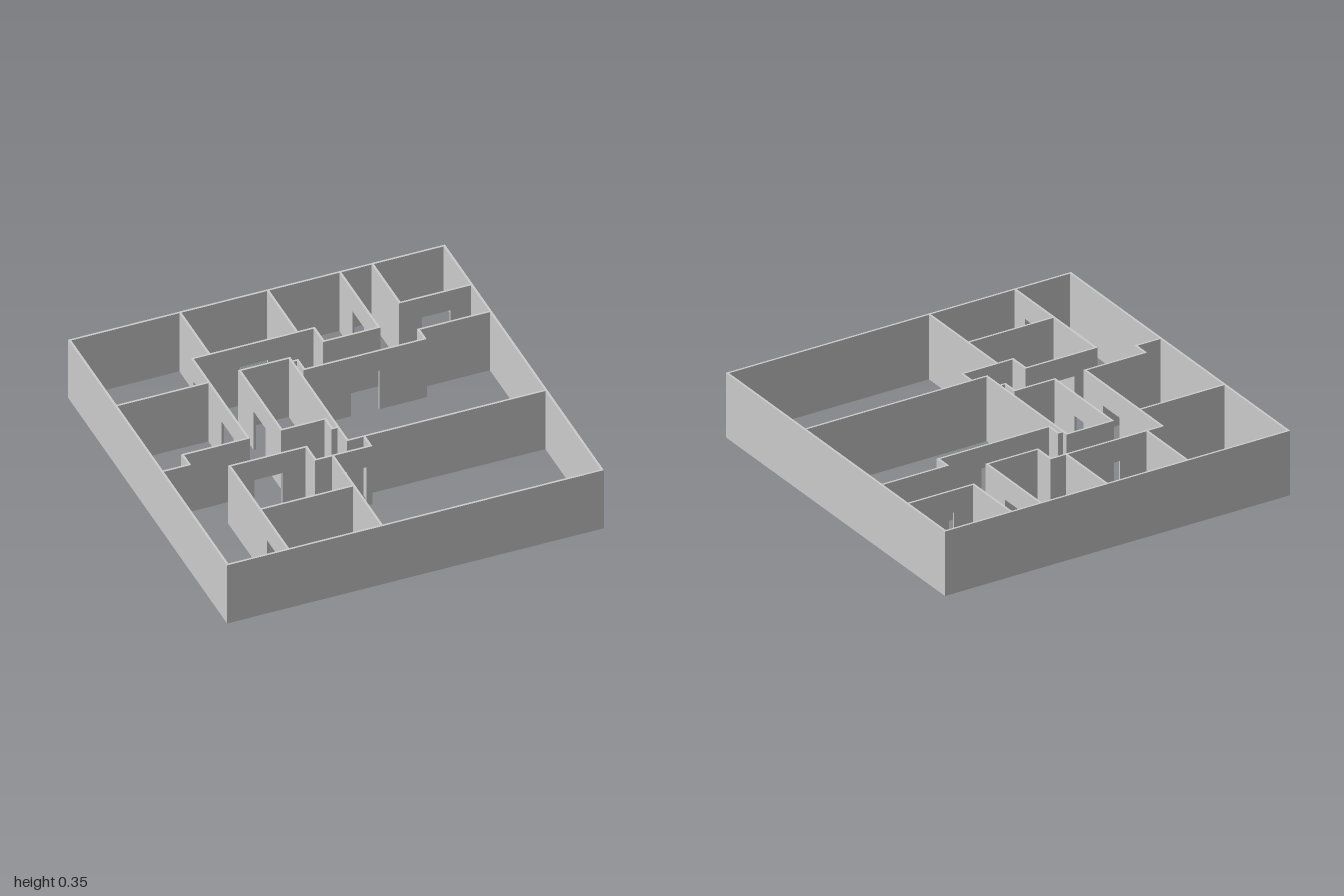
import * as THREE from 'three';

const H = 0.355;          // wall height
const T = 0.012;          // wall thickness
const DOOR_W = 0.15;
const DOOR_H = 0.235;
const E = 1 - T / 2;      // centre line of the outer walls

const material = new THREE.MeshStandardMaterial({ color: 0xcccccc, flatShading: true });

// One straight wall between two plan points, with an optional doorway in its middle
function wall([x0, z0], [x1, z1], door) {
  const half = (Math.hypot(x1 - x0, z1 - z0) + T) / 2;
  const d = DOOR_W / 2;
  const outline = [[-half, 0]];
  if (door) outline.push([-d, 0], [-d, DOOR_H], [d, DOOR_H], [d, 0]);
  outline.push([half, 0], [half, H], [-half, H]);
  const shape = new THREE.Shape(outline.map(([x, y]) => new THREE.Vector2(x, y)));
  const geometry = new THREE.ExtrudeGeometry(shape, { depth: T, bevelEnabled: false });
  geometry.translate(0, 0, -T / 2);
  const mesh = new THREE.Mesh(geometry, material);
  mesh.position.set((x0 + x1) / 2, 0, (z0 + z1) / 2);
  mesh.rotation.y = -Math.atan2(z1 - z0, x1 - x0);
  mesh.name = door ? 'wallWithDoorway' : 'wall';
  return mesh;
}

// Wall runs as plan points [x, z]; doors lists the segments that have a doorway
const runs = [
  { name: 'outerWalls', points: [[-E, -E], [E, -E], [E, E], [-E, E], [-E, -E]] },
  {
    name: 'backRoomsCorridorWall', doors: [0, 2, 6],
    points: [[-0.5, -0.412], [-0.5, -0.622], [-0.409, -0.622], [0.057, -0.622],
      [0.147, -0.622], [0.147, -0.503], [0.44, -0.503], [0.44, -E]],
  },
  { name: 'backPartitionRight', points: [[-0.409, -E], [-0.409, -0.622]] },
  { name: 'backPartitionLeft', points: [[0.057, -E], [0.057, -0.622]] },
  { name: 'backCornerRoom', doors: [1], points: [[0.612, -E], [0.612, -0.649], [E, -0.649]] },
  {
    name: 'sideRoom', doors: [1],
    points: [[-E, -0.412], [-0.5, -0.412], [-0.5, 0.083], [-0.849, 0.083], [-0.849, 0.17], [-E, 0.17]],
  },
  {
    name: 'middleRoom', doors: [3],
    points: [[-0.06, 0.17], [-0.092, 0.17], [-0.092, 0.083], [-0.324, 0.083], [-0.324, -0.443], [-0.06, -0.443]],
  },
  {
    name: 'largeRoom', doors: [3],
    points: [[-0.06, -0.443], [-0.06, -0.412], [-0.03, -0.412], [-0.03, -0.329],
      [0.612, -0.329], [0.612, -0.412], [E, -0.412]],
  },
  { name: 'largeRoomFrontWall', points: [[-0.06, -0.412], [-0.06, 0.287], [E, 0.287]] },
  {
    name: 'frontRooms', doors: [1, 4],
    points: [[-0.672, E], [-0.672, 0.64], [-0.672, 0.257], [-0.266, 0.257], [-0.266, 0.373],
      [-0.175, 0.373], [-0.175, E]],
  },
  { name: 'frontRoomPartition', points: [[-0.672, 0.64], [-0.175, 0.64]] },
  { name: 'frontHallEntrance', doors: [0], points: [[-0.175, 0.373], [0.028, 0.373], [0.028, 0.287]] },
];
// The front rooms open at the first (side) and third (hall) segments
runs.find((r) => r.name === 'frontRooms').doors = [0, 2];
// The large room opens in its long back wall
runs.find((r) => r.name === 'largeRoom').doors = [3];

export function createModel() {
  const model = new THREE.Group();
  model.name = 'floorPlanWalls';
  for (const { name, points, doors = [] } of runs) {
    const group = new THREE.Group();
    group.name = name;
    for (let i = 0; i < points.length - 1; i++) {
      group.add(wall(points[i], points[i + 1], doors.includes(i)));
    }
    model.add(group);
  }
  return model;
}
